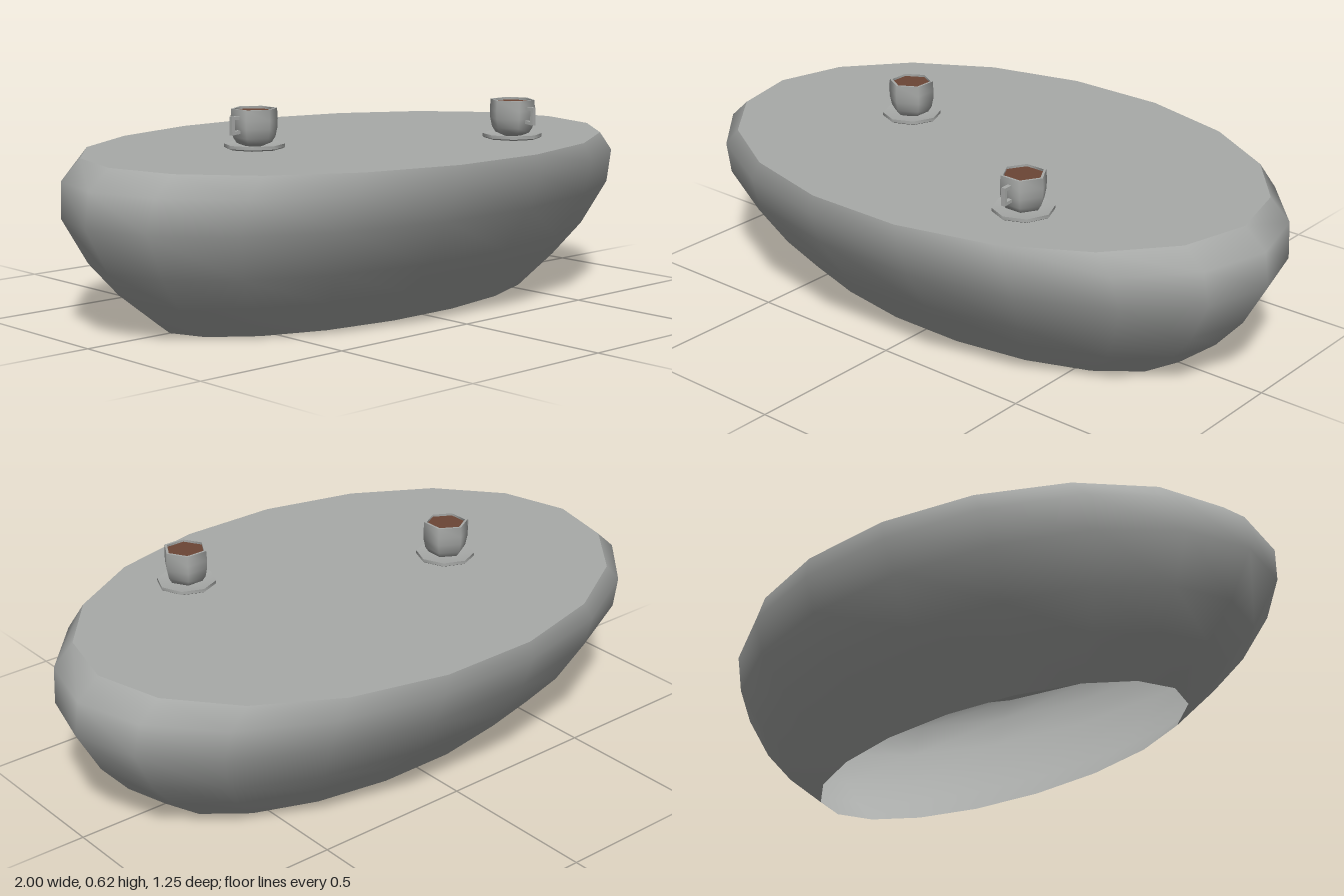
import * as THREE from 'three';
import { mergeVertices, toCreasedNormals } from 'three/addons/utils/BufferGeometryUtils.js';

const stone = new THREE.MeshStandardMaterial({ color: 0xa8aaa8, side: THREE.DoubleSide });
stone.name = 'grey';
const coffee = new THREE.MeshStandardMaterial({ color: 0x6b4535 });
coffee.name = 'coffeeBrown';

function addMesh(parent, name, geometry, material) {
  const mesh = new THREE.Mesh(geometry, material);
  mesh.name = name;
  parent.add(mesh);
  return mesh;
}

// Faceted lathe with smooth sides and crisp rims
function turned(profile, sides, crease) {
  const points = profile.map(([r, y]) => new THREE.Vector2(r, y));
  return toCreasedNormals(new THREE.LatheGeometry(points, sides), crease);
}

// Hollow shell: each ring is an ellipse [half width, half depth, height]
const rings = [
  [0.712, 0.324, 0], [0.837, 0.418, 0.1], [0.925, 0.51, 0.2],
  [1, 0.595, 0.335], [0.987, 0.634, 0.44], [0.915, 0.632, 0.5],
];

function shellGeometry() {
  const points = rings.map(([w, , y]) => new THREE.Vector2(w, y));
  const lathe = new THREE.LatheGeometry(points, 18, Math.PI / 2);
  const pos = lathe.attributes.position;
  for (let i = 0; i < pos.count; i++) {
    const [w, d] = rings[i % rings.length];
    pos.setZ(i, pos.getZ(i) * d / w);
  }
  lathe.deleteAttribute('uv');
  lathe.deleteAttribute('normal');
  const shell = mergeVertices(lathe, 1e-4);
  shell.computeVertexNormals();
  return shell;
}

// Rectangular loop handle on the -x side of the cup
function handleGeometry() {
  const shape = new THREE.Shape([
    [-0.058, 0.551], [-0.09, 0.548], [-0.09, 0.603], [-0.058, 0.603],
  ].map(p => new THREE.Vector2(...p)));
  shape.holes.push(new THREE.Path([
    [-0.058, 0.561], [-0.058, 0.593], [-0.08, 0.593], [-0.08, 0.559],
  ].map(p => new THREE.Vector2(...p))));
  const handle = new THREE.ExtrudeGeometry(shape, { depth: 0.013, bevelEnabled: false });
  return handle.translate(0, 0, -0.0065);
}

function createCup(name) {
  const cup = new THREE.Group();
  cup.name = name;
  addMesh(cup, 'saucer', turned([
    [0, 0.503], [0.084, 0.503], [0.091, 0.507], [0.091, 0.517], [0.05, 0.511], [0, 0.511],
  ], 8, 0.9), stone);
  addMesh(cup, 'cupBody', turned([
    [0.03, 0.511], [0.053, 0.52], [0.064, 0.537], [0.07, 0.565], [0.071, 0.59],
    [0.069, 0.622], [0.061, 0.622], [0.061, 0.605],
  ], 6, 1.15), stone);
  addMesh(cup, 'handle', handleGeometry(), stone);
  // Liquid surface just below the rim, its corners matching the cup
  const liquid = new THREE.CircleGeometry(0.061, 6, Math.PI / 2);
  addMesh(cup, 'coffee', liquid.rotateX(-Math.PI / 2), coffee).position.y = 0.615;
  return cup;
}

export function createModel() {
  const model = new THREE.Group();
  model.name = 'coffeeTable';
  addMesh(model, 'tableShell', shellGeometry(), stone);

  // Flat top closing the upper ring
  const [w, d, y] = rings[rings.length - 1];
  const top = new THREE.CircleGeometry(1, 18).rotateX(-Math.PI / 2);
  addMesh(model, 'tableTop', top.scale(w, 1, d).translate(0, y, 0), stone);

  const rightCup = createCup('rightCup');
  rightCup.position.set(-0.363, 0, -0.03);
  const leftCup = createCup('leftCup');
  leftCup.position.set(0.38, 0, 0.323);
  leftCup.rotation.y = Math.PI / 2;
  model.add(rightCup, leftCup);
  return model;
}
